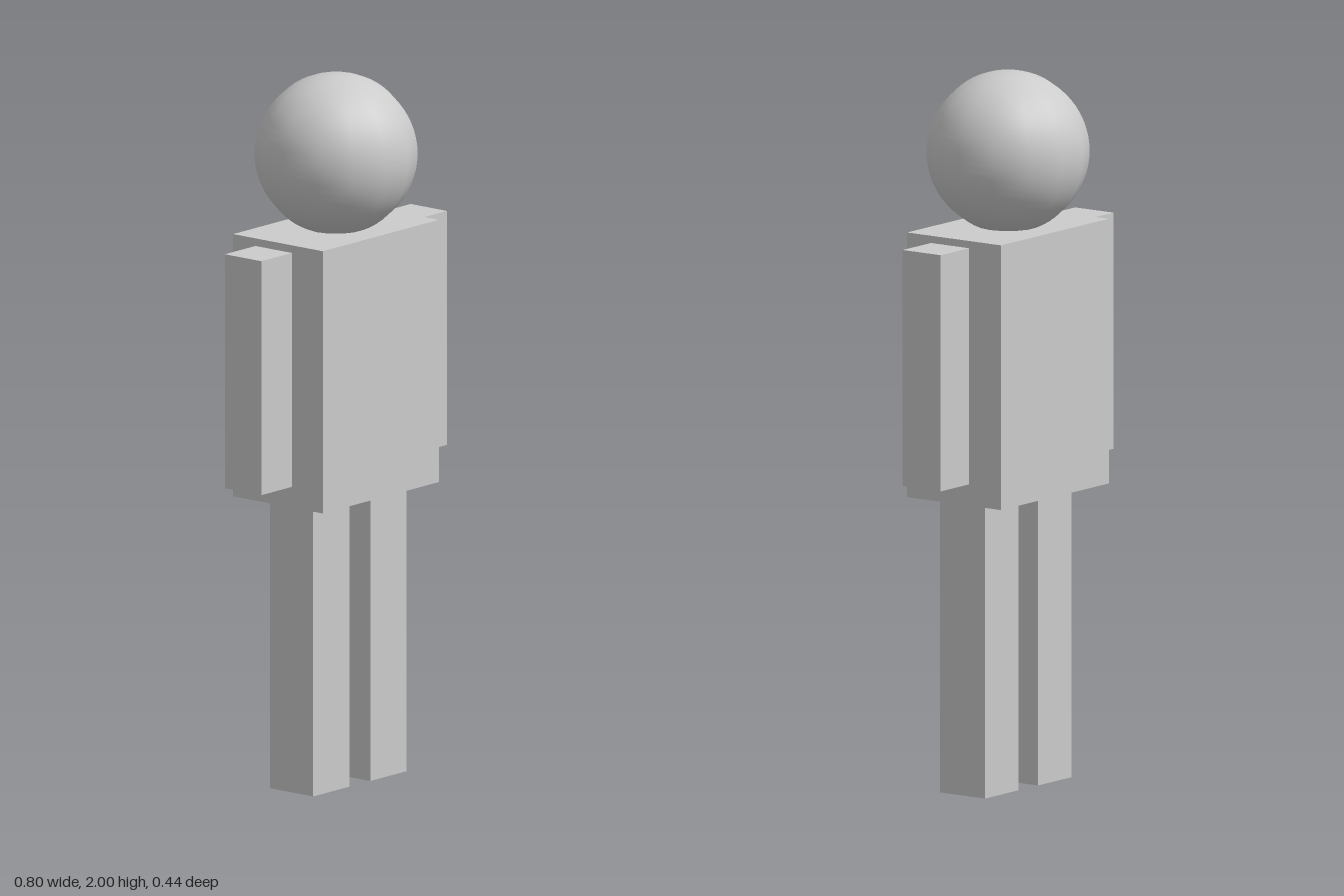
import * as THREE from 'three';

export function createModel() {
  const model = new THREE.Group();
  const material = new THREE.MeshStandardMaterial({ color: 0xcccccc });

  function add(name, geometry, x, y, z = 0) {
    const mesh = new THREE.Mesh(geometry, material);
    mesh.name = name;
    mesh.position.set(x, y, z);
    model.add(mesh);
  }

  // Head: smooth ball with 14 sides around, sunk slightly into the torso
  add('head', new THREE.SphereGeometry(0.225, 14, 32), 0, 1.775);

  // Torso
  add('torso', new THREE.BoxGeometry(0.497, 0.742, 0.323), 0, 1.195);

  // Arms
  for (const [name, side] of [['leftArm', 1], ['rightArm', -1]]) {
    add(name, new THREE.BoxGeometry(0.131, 0.662, 0.131), side * 0.332, 1.219);
  }

  // Legs, set a touch towards the left
  for (const [name, x] of [['leftLeg', 0.132], ['rightLeg', -0.112]]) {
    add(name, new THREE.BoxGeometry(0.155, 0.824, 0.155), x, 0.412);
  }

  return model;
}
